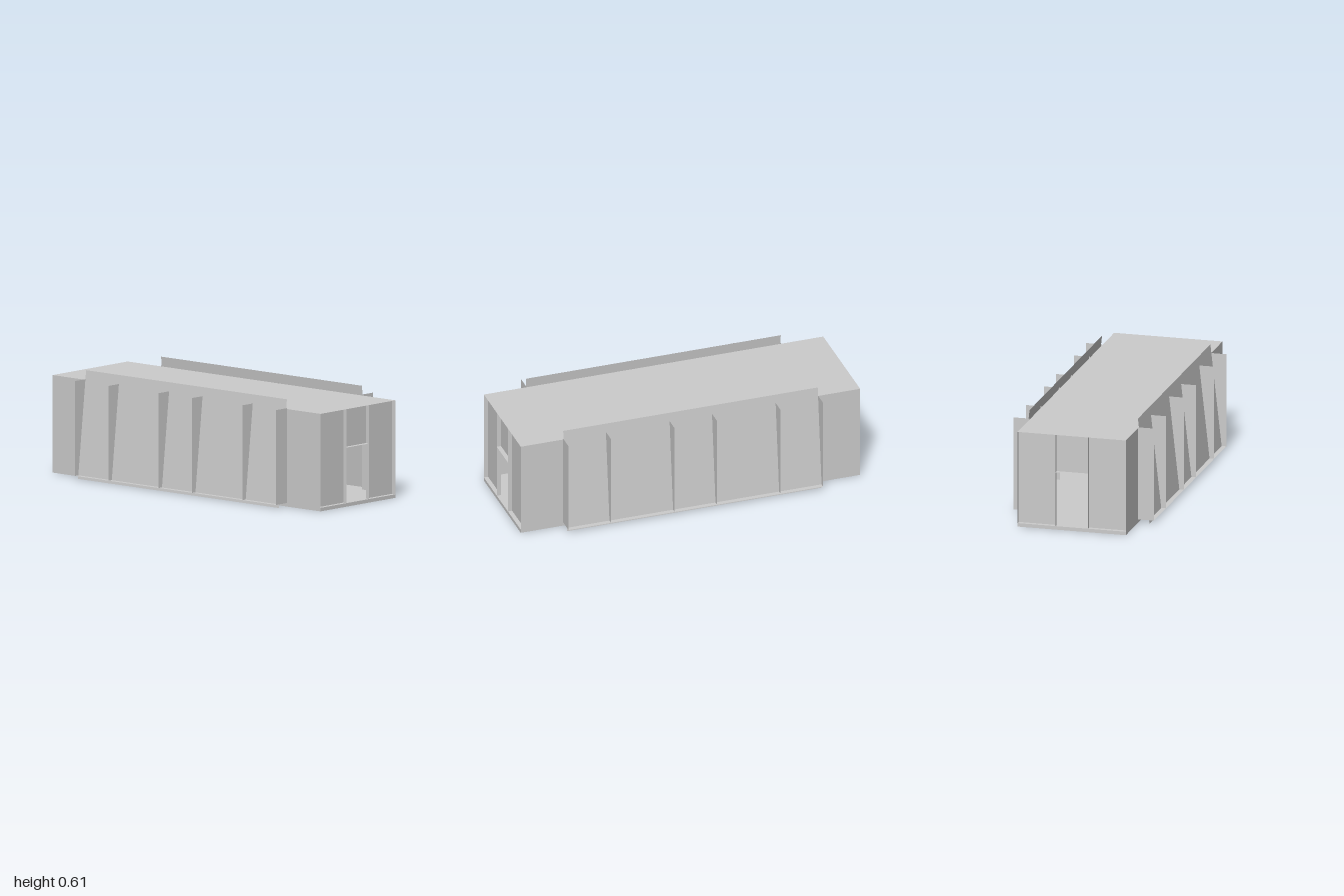
import * as THREE from 'three';

const material = new THREE.MeshStandardMaterial({ color: 0xcccccc, side: THREE.DoubleSide, flatShading: true });

const HALF = 0.313;    // half width of the cabin
const OUTER = 0.405;   // outer edge of the side bays
const FLOOR = 0.02;    // top of the floor slab
const ROOF = 0.55;
const DOOR = 0.094;    // half width of the door
const LINTEL = 0.333;
const BAY = 0.75;      // half length of the side bays
const WALL = 0.975;    // z of the recessed end walls

export function createModel() {
  const model = new THREE.Group();
  model.name = 'cabin';

  const add = (parent, name, geometry) => {
    const mesh = new THREE.Mesh(geometry, material);
    mesh.name = name;
    parent.add(mesh);
    return mesh;
  };

  // Thin sheet spanned by two edge vectors from a corner
  const sheet = (parent, name, corner, u, v) => {
    const a = new THREE.Vector3(...corner);
    const b = a.clone().add(new THREE.Vector3(...u));
    const d = a.clone().add(new THREE.Vector3(...v));
    const c = b.clone().add(new THREE.Vector3(...v));
    const geometry = new THREE.BufferGeometry().setFromPoints([a, b, c, a, c, d]);
    geometry.computeVertexNormals();
    return add(parent, name, geometry);
  };

  // Floor slab and flat roof
  add(model, 'floor', new THREE.BoxGeometry(2 * HALF, FLOOR, 2).translate(0, FLOOR / 2, 0));
  sheet(model, 'roof', [-HALF, ROOF, 1], [2 * HALF, 0, 0], [0, 0, -2]);

  // End wall outline with a doorway
  const wallShape = new THREE.Shape([
    [-HALF, FLOOR], [-DOOR, FLOOR], [-DOOR, LINTEL], [DOOR, LINTEL],
    [DOOR, FLOOR], [HALF, FLOOR], [HALF, ROOF], [-HALF, ROOF],
  ].map(([x, y]) => new THREE.Vector2(x, y)));

  // Front and back ends: recessed wall, door posts and lintel ledge
  ['front', 'back'].forEach((label, i) => {
    const end = new THREE.Group();
    end.name = label + 'End';
    end.rotation.y = i * Math.PI;
    add(end, 'endWall', new THREE.ShapeGeometry(wallShape).translate(0, 0, WALL));
    for (const x of [-DOOR, DOOR]) {
      sheet(end, 'doorPost', [x, FLOOR, 1], [0, 0, WALL - 1], [0, ROOF - FLOOR, 0]);
    }
    sheet(end, 'lintelLedge', [-DOOR, LINTEL, 1], [2 * DOOR, 0, 0], [0, 0, WALL - 1]);
    model.add(end);
  });

  // Sides: short end walls and a bay with a leaning panel and fins
  ['left', 'right'].forEach((label, i) => {
    const side = new THREE.Group();
    side.name = label + 'Side';
    side.rotation.y = i * Math.PI;
    for (const z of [1, -BAY]) {
      sheet(side, 'sideWall', [HALF, 0, z], [0, 0, BAY - 1], [0, ROOF, 0]);
    }
    sheet(side, 'leaningPanel', [0.38, 0, BAY], [0, 0, -2 * BAY], [HALF - 0.38, 0.605, 0]);
    sheet(side, 'bayFloor', [HALF, FLOOR, BAY], [OUTER - HALF, 0, 0], [0, 0, -2 * BAY]);
    for (const z of [0.75, 0.5, 0.125, -0.125, -0.5, -0.75]) {
      sheet(side, 'fin', [HALF, FLOOR, z], [OUTER - HALF, 0, 0], [0, 0.555 - FLOOR, 0]);
    }
    model.add(side);
  });

  return model;
}
